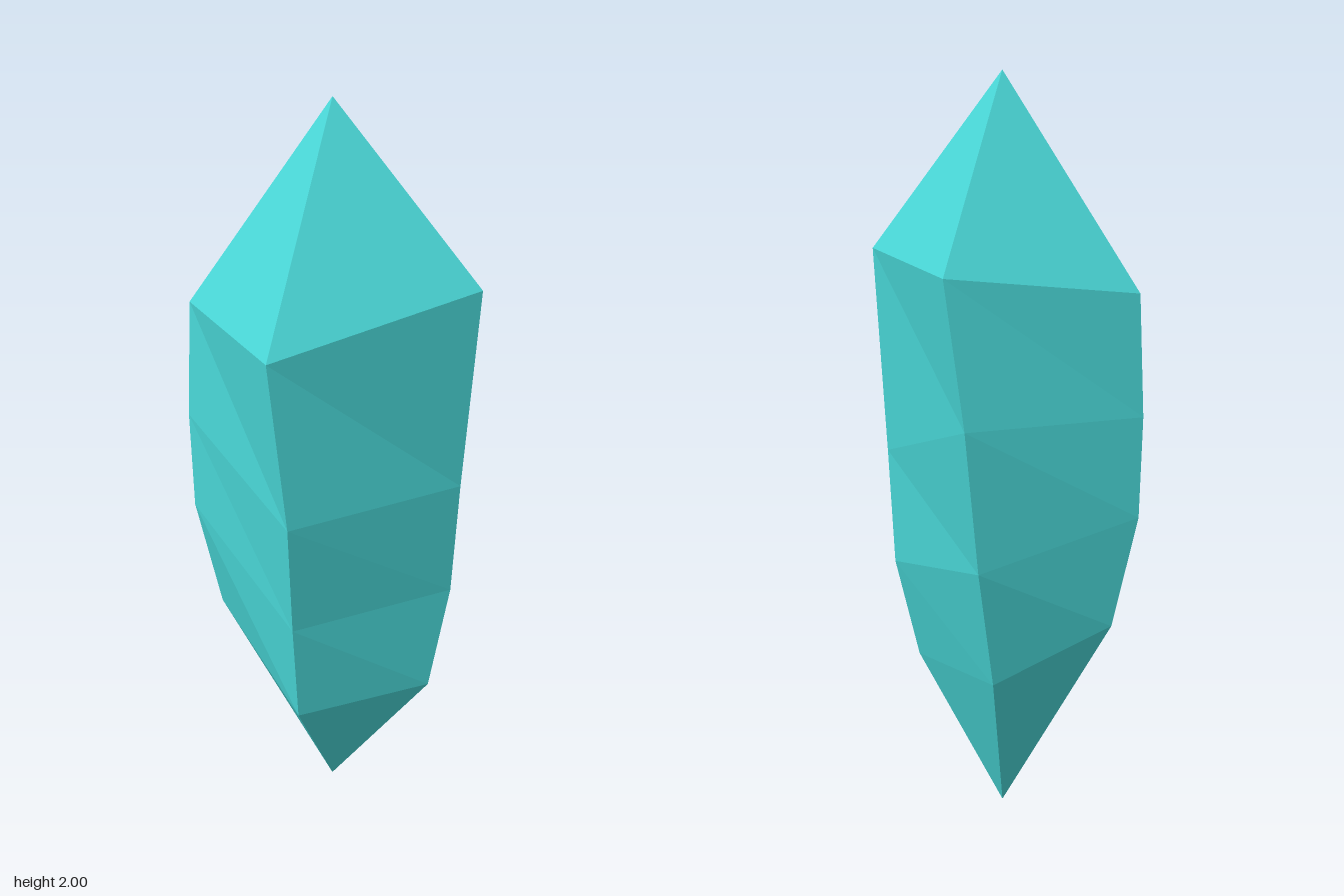
import * as THREE from 'three';

// Four ridges of the crystal, each listed from shoulder down to lower tip,
// ordered anticlockwise seen from above: front, left (+x), back, right (-x).
const ridges = [
  [[-0.09, 1.425, 0.4], [-0.04, 0.975, 0.4], [-0.037, 0.665, 0.36], [-0.03, 0.39, 0.325]],
  [[0.4, 1.52, 0.02], [0.355, 0.96, 0.01], [0.335, 0.645, 0.01], [0.285, 0.37, 0.06]],
  [[0.006, 1.48, -0.4], [-0.043, 1.09, -0.38], [-0.055, 0.71, -0.32], [-0.057, 0.39, -0.225]],
  [[-0.39, 1.425, -0.025], [-0.4, 1.1, -0.02], [-0.39, 0.83, -0.02], [-0.32, 0.53, -0.03]],
];
const topTip = [0, 2, -0.017];
const bottomTip = [0, 0, -0.017];

function facetMesh(name, triangles, material) {
  const geometry = new THREE.BufferGeometry();
  geometry.setAttribute('position', new THREE.Float32BufferAttribute(triangles.flat(2), 3));
  geometry.computeVertexNormals(); // unshared corners give flat facets
  const mesh = new THREE.Mesh(geometry, material);
  mesh.name = name;
  return mesh;
}

export function createModel() {
  const turquoise = new THREE.MeshStandardMaterial({ color: 0x4ad9d9 });
  turquoise.name = 'turquoise';
  turquoise.flatShading = true;

  const crown = [], body = [], point = [];
  ridges.forEach((a, k) => {
    const b = ridges[(k + 1) % ridges.length];
    const last = a.length - 1;
    crown.push([topTip, a[0], b[0]]);
    for (let i = 0; i < last; i++) {
      body.push([a[i], a[i + 1], b[i + 1]], [a[i], b[i + 1], b[i]]);
    }
    point.push([a[last], bottomTip, b[last]]);
  });

  const crystal = new THREE.Group();
  crystal.name = 'crystal';
  crystal.add(
    facetMesh('crown', crown, turquoise),
    facetMesh('body', body, turquoise),
    facetMesh('lowerPoint', point, turquoise),
  );
  return crystal;
}
